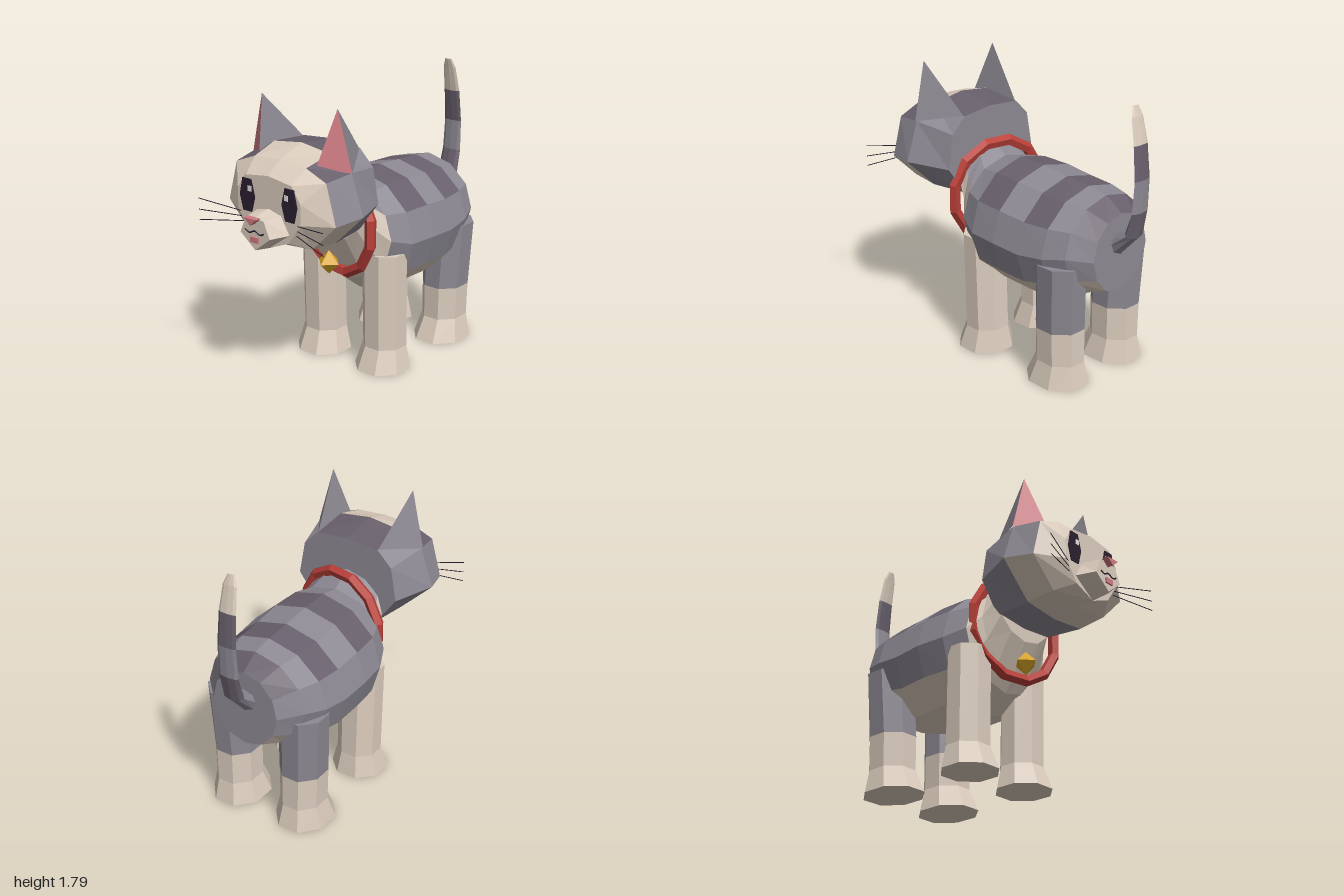
import * as THREE from 'three';

const material = (name, color) => {
  const m = new THREE.MeshStandardMaterial({ color });
  m.name = name;
  return m;
};
const GREY = 0, DARK = 1, CREAM = 2;

// Lofts closed rings of points; colourOf(ring, segment band) picks a fur colour.
// Band counts from the first point of the ring down both sides.
function loft(rings, colourOf, capColours) {
  const n = rings[0].length, faces = [[], [], []];
  const add = (c, ...pts) => pts.forEach(p => faces[c].push(p.x, p.y, p.z));
  for (let i = 0; i < rings.length - 1; i++) {
    for (let k = 0; k < n; k++) {
      const j = (k + 1) % n, a = rings[i], b = rings[i + 1];
      const c = colourOf(i, Math.min(k, n - 1 - k));
      add(c, a[k], b[k], a[j]);
      add(c, a[j], b[k], b[j]);
    }
  }
  [rings[0], rings[rings.length - 1]].forEach((r, end) => {
    const mid = new THREE.Vector3();
    r.forEach(p => mid.addScaledVector(p, 1 / n));
    for (let k = 0; k < n; k++) {
      const p = r[k], q = r[(k + 1) % n];
      end ? add(capColours[1], mid, q, p) : add(capColours[0], mid, p, q);
    }
  });
  const geo = new THREE.BufferGeometry();
  geo.setAttribute('position', new THREE.Float32BufferAttribute(faces.flat(), 3));
  let start = 0;
  faces.forEach((f, c) => {
    if (f.length) geo.addGroup(start, f.length / 3, c);
    start += f.length / 3;
  });
  geo.computeVertexNormals();
  return geo;
}

// Full ring at depth z from a half outline running from top to bottom
const mirrorRing = (z, half) => [
  ...half.map(([x, y]) => new THREE.Vector3(x, y, z)),
  ...half.slice(1, -1).reverse().map(([x, y]) => new THREE.Vector3(-x, y, z)),
];

const circle = (n, offset, fn) => Array.from({ length: n }, (_, k) => {
  const a = (k + offset) / n * Math.PI * 2;
  return fn(Math.sin(a), Math.cos(a));
});

function flat(geo) {
  const g = geo.index ? geo.toNonIndexed() : geo;
  g.computeVertexNormals();
  return g;
}

export function createModel() {
  const group = new THREE.Group();
  const grey = material('grey fur', 0x8d8993), dark = material('dark grey stripes', 0x68606c);
  const cream = material('cream fur', 0xdccdbe), red = material('red collar', 0xb93f38);
  const gold = material('gold bell', 0xd9a426), pink = material('pink skin', 0xcf7a82);
  const black = material('dark eyes', 0x2a2030), white = material('eye highlight', 0xe8e2e2);
  const fur = [grey, dark, cream];

  const add = (name, geo, mat, parent = group) => {
    const mesh = new THREE.Mesh(geo, mat);
    mesh.name = name;
    parent.add(mesh);
    return mesh;
  };

  // Body and neck: z, centre height, half width, half height
  const bodyRings = [
    [-0.84, 0.85, 0.23, 0.25], [-0.72, 0.87, 0.35, 0.31], [-0.58, 0.845, 0.405, 0.355],
    [-0.4, 0.825, 0.425, 0.385], [-0.2, 0.838, 0.435, 0.39], [0, 0.84, 0.42, 0.39],
    [0.14, 0.88, 0.36, 0.32], [0.21, 0.96, 0.29, 0.29], [0.3, 1.08, 0.25, 0.22],
  ].map(([z, cy, rx, ry]) => circle(12, 0, (s, c) => new THREE.Vector3(s * rx, cy + c * ry, z)));
  add('body', loft(bodyRings, (i, b) => {
    if (i >= 6) return b >= 2 ? CREAM : GREY;
    if (b >= 4) return CREAM;
    return i % 2 === 0 && b < 2 ? DARK : GREY;
  }, [GREY, CREAM]), fur);

  // Head
  const headRings = [
    mirrorRing(0.27, [[0, 1.5], [0.22, 1.48], [0.32, 1.38], [0.36, 1.16], [0.22, 0.97], [0, 0.95]]),
    mirrorRing(0.54, [[0, 1.535], [0.22, 1.505], [0.38, 1.42], [0.467, 1.17], [0.25, 0.96], [0, 0.935]]),
    mirrorRing(0.73, [[0, 1.475], [0.2, 1.46], [0.35, 1.4], [0.42, 1.15], [0.24, 0.975], [0, 0.955]]),
    mirrorRing(0.835, [[0, 1.4], [0.18, 1.375], [0.245, 1.28], [0.245, 1.15], [0.15, 1.02], [0, 0.96]]),
  ];
  add('head', loft(headRings, (i, b) => {
    if (i === 0) return b === 0 ? DARK : GREY;
    if (i === 1) return [CREAM, DARK, GREY, CREAM, CREAM][b];
    return CREAM;
  }, [GREY, CREAM]), fur);

  // Muzzle
  add('muzzle', loft([
    mirrorRing(0.81, [[0, 1.205], [0.1, 1.18], [0.165, 1.07], [0, 0.955]]),
    mirrorRing(0.955, [[0, 1.18], [0.07, 1.17], [0.115, 1.07], [0, 0.98]]),
  ], () => CREAM, [CREAM, CREAM]), fur);

  // Nose, mouth and tongue
  const nose = flat(new THREE.CylinderGeometry(0.057, 0.057, 0.04, 3));
  nose.rotateX(Math.PI / 2).rotateZ(Math.PI);
  nose.computeBoundingBox();
  const up = nose.boundingBox;
  if (up.max.y > -up.min.y) nose.rotateZ(Math.PI);
  nose.rotateZ(Math.PI).scale(1, -0.5, -1);
  add('nose', nose, pink).position.set(0, 1.17, 0.975);
  const mouthPath = new THREE.CatmullRomCurve3(
    [[-0.075, 1.097], [-0.04, 1.082], [0, 1.1], [0.04, 1.082], [0.075, 1.097]]
      .map(([x, y]) => new THREE.Vector3(x, y, 0.958)));
  add('mouth', new THREE.TubeGeometry(mouthPath, 12, 0.005, 4), black);
  add('tongue', new THREE.BoxGeometry(0.06, 0.033, 0.012), pink).position.set(0, 1.045, 0.96);

  // Eyes, ears and whiskers on each side
  for (const s of [1, -1]) {
    const side = s > 0 ? 'left' : 'right';
    const eyeShape = new THREE.Shape([[0.2, 1.355], [0.132, 1.355], [0.105, 1.25], [0.132, 1.155], [0.2, 1.155], [0.224, 1.25]]
      .map(([x, y]) => new THREE.Vector2(x * s, y)));
    const eye = new THREE.ExtrudeGeometry(eyeShape, { depth: 0.008, bevelEnabled: false });
    add(side + 'Eye', eye, black).position.z = 0.833;
    add(side + 'EyeHighlight', new THREE.BoxGeometry(0.028, 0.034, 0.004), white).position.set(0.143 * s, 1.297, 0.842);

    const [front, outer, back, tip] = [[0.222, 1.45, 0.67], [0.388, 1.42, 0.545], [0.222, 1.48, 0.28], [0.293, 1.79, 0.56]]
      .map(([x, y, z]) => new THREE.Vector3(x * s, y, z));
    const triangles = [[front, outer, tip], [outer, back, tip], [back, front, tip]]
      .map(([a, b, c]) => (s > 0 ? [a, b, c] : [b, a, c])).flat();
    const ear = new THREE.BufferGeometry().setFromPoints(triangles);
    ear.computeVertexNormals();
    ear.addGroup(0, 3, 0);
    ear.addGroup(3, 6, 1);
    add(side + 'Ear', ear, [pink, grey]);

    for (const [y0, y1] of [[1.14, 1.185], [1.11, 1.115], [1.08, 1.05]]) {
      const path = new THREE.LineCurve3(new THREE.Vector3(0.21 * s, y0, 0.83), new THREE.Vector3(0.49 * s, y1, 0.92));
      add(side + 'Whisker', new THREE.TubeGeometry(path, 1, 0.003, 3), black);
    }
  }

  // Legs: height, centre x, centre z, half width, half depth
  const frontLeg = [[0, 0.243, 0.07, 0.17, 0.172], [0.15, 0.245, 0.053, 0.133, 0.132], [0.78, 0.247, 0.065, 0.137, 0.128]];
  const hindLeg = [[0, 0.243, -0.57, 0.17, 0.2], [0.15, 0.245, -0.59, 0.135, 0.152],
    [0.37, 0.247, -0.59, 0.14, 0.152], [0.8, 0.262, -0.61, 0.145, 0.15]];
  for (const s of [1, -1]) {
    for (const [name, rows] of [['FrontLeg', frontLeg], ['HindLeg', hindLeg]]) {
      const rings = rows.map(([y, cx, cz, rx, rz]) => circle(8, 0.5, (sn, c) =>
        new THREE.Vector3(s * cx + sn * rx * 1.07, y, cz - c * rz * 1.07)));
      const hind = name === 'HindLeg';
      add((s > 0 ? 'left' : 'right') + name,
        loft(rings, i => (hind && i === 2 ? GREY : CREAM), [CREAM, hind ? GREY : CREAM]), fur);
    }
  }

  // Tail: z, y, half width, half thickness
  const tailRows = [[-0.8, 0.89, 0.085, 0.065], [-0.94, 1.0, 0.075, 0.035], [-0.978, 1.15, 0.07, 0.018],
    [-0.988, 1.35, 0.065, 0.012], [-0.967, 1.56, 0.06, 0.014], [-0.935, 1.72, 0.048, 0.012], [-0.918, 1.78, 0.025, 0.008]];
  const tailRings = tailRows.map(([z, y, w, t], i) => {
    const p = tailRows[Math.max(i - 1, 0)], q = tailRows[Math.min(i + 1, tailRows.length - 1)];
    const len = Math.hypot(q[0] - p[0], q[1] - p[1]);
    const tz = (q[0] - p[0]) / len, ty = (q[1] - p[1]) / len;
    return circle(8, 0, (s, c) => new THREE.Vector3(s * w, y + c * t * tz, z - c * t * ty));
  });
  const tailColours = [GREY, DARK, GREY, DARK, CREAM, CREAM];
  add('tail', loft(tailRings, i => tailColours[i], [GREY, CREAM]), fur);

  // Collar and bell
  const collar = add('collar', flat(new THREE.TorusGeometry(0.325, 0.037, 5, 12)), red);
  collar.position.set(0, 0.957, 0.215);
  collar.rotation.set(0, -0.2, Math.PI / 12);
  add('bell', new THREE.OctahedronGeometry(0.078), gold).position.set(0, 0.712, 0.305);

  return group;
}
